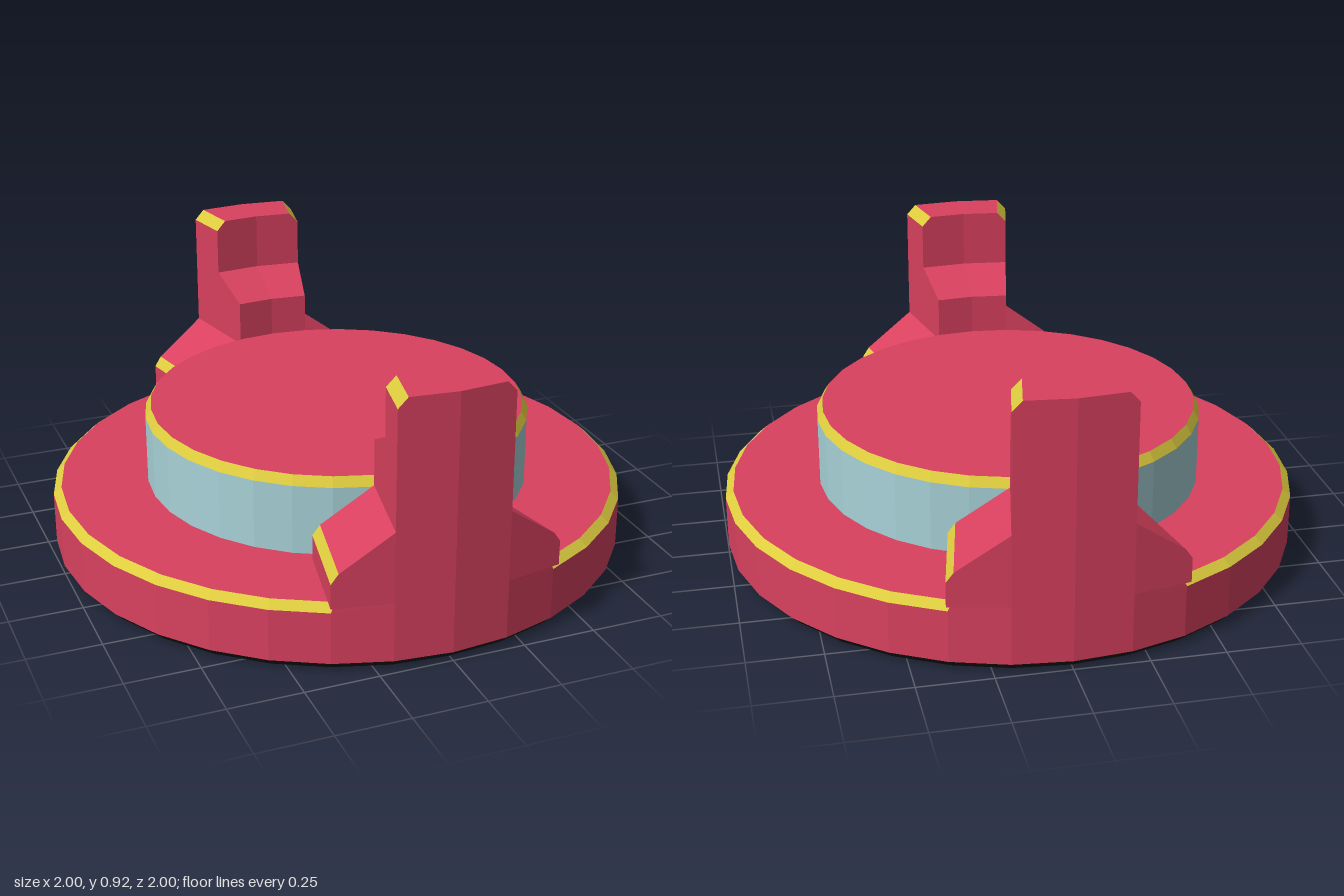
import * as THREE from 'three';

const mat = (color) => new THREE.MeshStandardMaterial({ color, flatShading: true });
const red = mat(0xd9415f), yellow = mat(0xdccb3e), blue = mat(0xa8d2d8), black = mat(0x1a1a1a);
const A = Math.PI / 16; // one step of the 32-sided outline

function mesh(name, geometry, material) {
  const m = new THREE.Mesh(geometry, material);
  m.name = name;
  return m;
}

// Band of revolution through [radius, y] points listed upwards
const band = (name, points, material) =>
  mesh(name, new THREE.LatheGeometry(points.map(p => new THREE.Vector2(...p)), 32), material);

// Walls between successive rings of points, limited to the chosen sides, with optional end caps
function loft(rings, sides, capStart, capEnd) {
  const pos = [], n = rings[0].length;
  const tri = (...pts) => pts.forEach(p => pos.push(...p));
  for (let i = 0; i < rings.length - 1; i++) {
    const a = rings[i], b = rings[i + 1];
    for (const j of sides) {
      const k = (j + 1) % n;
      tri(a[j], a[k], b[k]);
      tri(a[j], b[k], b[j]);
    }
  }
  // caps fan out from corner 2, which sees every other corner
  for (let j = 3; j < n + 1; j++) {
    const [p, q] = [j % n, (j + 1) % n];
    const first = rings[0], last = rings[rings.length - 1];
    if (capStart) tri(first[2], first[q], first[p]);
    if (capEnd) tri(last[2], last[p], last[q]);
  }
  const g = new THREE.BufferGeometry();
  g.setAttribute('position', new THREE.Float32BufferAttribute(pos, 3));
  g.computeVertexNormals();
  return g;
}

// Plan of the post: wedge between an inner radius and the rim, its sides pulled in by trim
function postRing(y, inner, trim = 0) {
  const s = Math.sin(A), c = Math.cos(A);
  const corner = (r) => [r * s - trim, r * c + trim * (1 - c) / s];
  const [xo, zo] = corner(1), [xi, zi] = corner(inner);
  return [[xo, y, zo], [xi, y, zi], [0, y, inner], [-xi, y, zi], [-xo, y, zo], [0, y, 1]];
}

// Sloping shoulder beside the post, run along the post's side
function shoulder(side) {
  const profile = [[0, 0.235], [0.2, 0.235], [0.2, 0.32], [0.175, 0.355], [0, 0.48]];
  const ring = (r) => profile.map(([s, y]) => [
    side * (r * Math.sin(A) + s * Math.cos(A)), y, r * Math.cos(A) - s * Math.sin(A)]);
  const rings = side > 0 ? [ring(0.67), ring(1)] : [ring(1), ring(0.67)];
  // the mirrored profile turns the other way, so its ring order is swapped
  const g = new THREE.Group();
  g.name = side > 0 ? 'leftShoulder' : 'rightShoulder';
  g.add(mesh('shoulderBody', loft(rings, [0, 1, 3, 4], true, true), red));
  g.add(mesh('shoulderBevel', loft(rings, [2], false, false), yellow));
  return g;
}

// Rim wall below the lug, replacing the bevel there
function rimFill() {
  const ring = (y, x, z) => [[x, y, z], [0.33, y, 0.8], [0, y, 0.8], [-0.33, y, 0.8], [-x, y, z],
    [-Math.sin(A), y, Math.cos(A)], [0, y, 1], [Math.sin(A), y, Math.cos(A)]];
  return mesh('rimFill', loft([ring(0.21, 0.383, 0.924), ring(0.235, 0.372, 0.927)],
    [0, 1, 2, 3, 4, 5, 6, 7], false, true), red);
}

function lug(name) {
  const g = new THREE.Group();
  g.name = name;
  const body = [postRing(0.21, 0.67), postRing(0.64, 0.67), postRing(0.72, 0.83), postRing(0.885, 0.83)];
  const tip = [postRing(0.885, 0.83), postRing(0.92, 0.83, 0.033)];
  g.add(mesh('post', loft(body, [0, 1, 2, 3, 4, 5], false, false), red));
  g.add(mesh('postTip', loft(tip, [1, 2, 4, 5], false, true), red));
  g.add(mesh('postBevels', loft(tip, [0, 3], false, false), yellow));
  g.add(shoulder(1), shoulder(-1), rimFill());
  return g;
}

export function createModel() {
  const model = new THREE.Group();
  model.name = 'lockingCap';

  // Base disc
  model.add(band('baseUnderside', [[0, 0], [0.97, 0]], red));
  model.add(band('baseLowerBevel', [[0.97, 0], [1, 0.03]], black));
  model.add(band('baseWall', [[1, 0.03], [1, 0.21]], red));
  model.add(band('baseUpperBevel', [[1, 0.21], [0.972, 0.235]], yellow));
  model.add(band('baseTop', [[0.972, 0.235], [0.6, 0.235]], red));

  // Raised hub
  model.add(band('hubWall', [[0.67, 0.235], [0.67, 0.475]], blue));
  model.add(band('hubBevel', [[0.67, 0.475], [0.65, 0.507]], yellow));
  model.add(band('hubTop', [[0.65, 0.507], [0, 0.507]], red));

  // Opposed lugs
  const back = lug('backLug');
  back.rotation.y = Math.PI;
  model.add(lug('frontLug'), back);
  return model;
}
